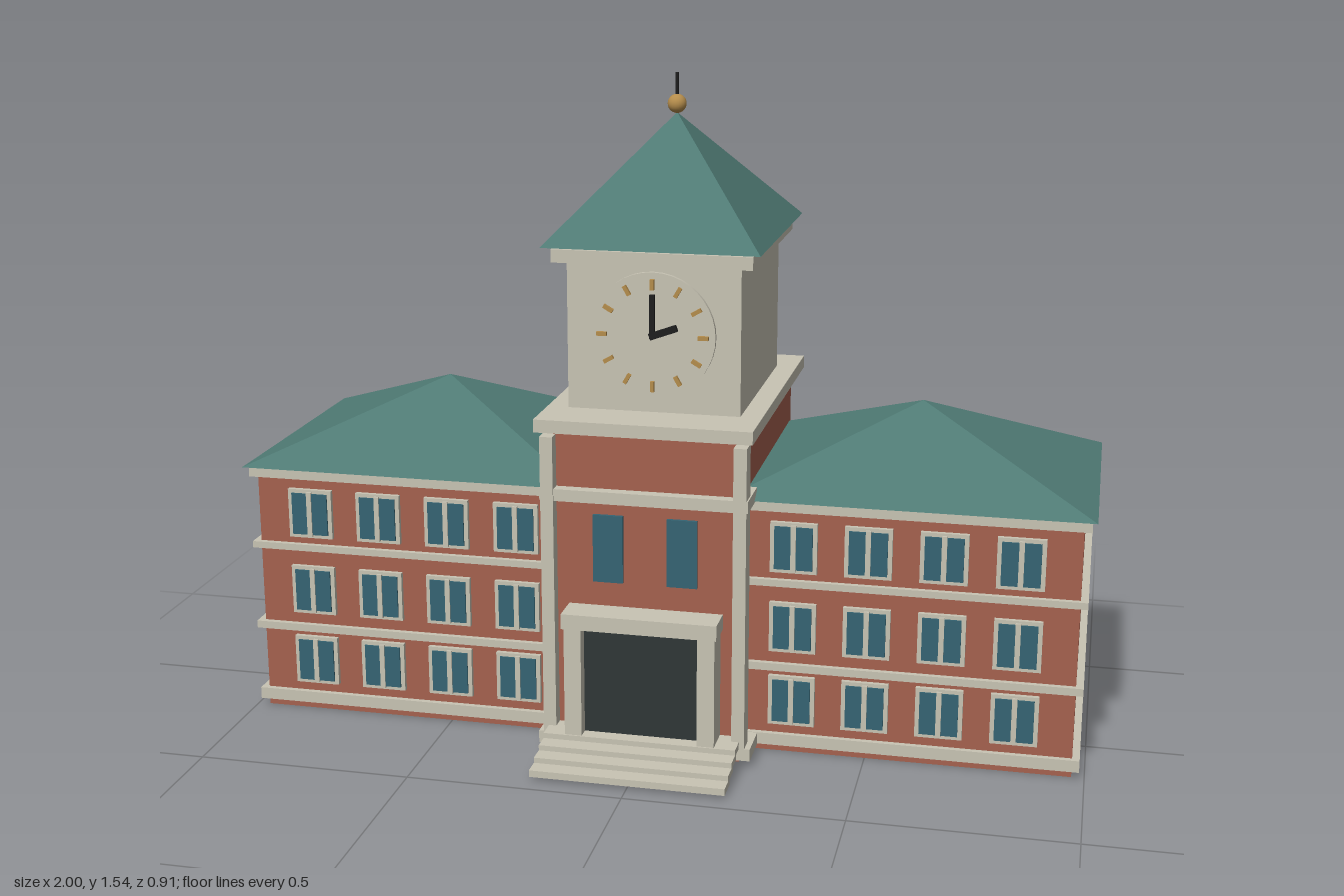
import * as THREE from 'three';

const mat = (name, color) => {
  const m = new THREE.MeshStandardMaterial({ color });
  m.name = name;
  return m;
};

export function createModel() {
  const brick = mat('brick', 0xa5614f);
  const stone = mat('stone', 0xc8c4b4);
  const copper = mat('copperRoof', 0x4f7a74);
  const glass = mat('glass', 0x356473);
  const dark = mat('doorDark', 0x303737);
  const gold = mat('gold', 0xb58d4c);
  const black = mat('black', 0x1e1e1e);

  const add = (parent, name, geometry, material) => {
    const mesh = new THREE.Mesh(geometry, material);
    mesh.name = name;
    parent.add(mesh);
    return mesh;
  };
  // Box given by its extents on each axis
  const box = (parent, name, material, [x0, x1], [y0, y1], [z0, z1]) => {
    const mesh = add(parent, name, new THREE.BoxGeometry(x1 - x0, y1 - y0, z1 - z0), material);
    mesh.position.set((x0 + x1) / 2, (y0 + y1) / 2, (z0 + z1) / 2);
    return mesh;
  };
  // Four-sided pyramid roof with a closed base
  const pyramid = (parent, name, halfX, halfZ, y0, y1, z) => {
    const g = new THREE.ConeGeometry(Math.SQRT2, 1, 4).toNonIndexed();
    g.rotateY(Math.PI / 4);
    g.scale(halfX, y1 - y0, halfZ);
    g.computeVertexNormals();
    add(parent, name, g, copper).position.set(0, (y0 + y1) / 2, z);
  };
  const group = (parent, name) => {
    const g = new THREE.Group();
    g.name = name;
    parent.add(g);
    return g;
  };

  const model = new THREE.Group();
  model.name = 'clockTowerHall';

  // Framed window with two panes, facing +z from its wall
  const addWindow = (parent, x, y, z, back) => {
    const w = group(parent, 'window');
    box(w, 'windowFrame', stone, [-0.054, 0.054], [-0.06, 0.06], [-0.005, 0.011]);
    for (const s of [-1, 1])
      box(w, 'pane', glass, [s * 0.025 - 0.019, s * 0.025 + 0.019], [-0.051, 0.051], [0.005, 0.015]);
    box(w, 'mullion', stone, [-0.006, 0.006], [-0.055, 0.055], [0.005, 0.018]);
    w.position.set(x, y, z);
    if (back) w.rotation.y = Math.PI;
  };

  // Side wings
  const zc = -0.128;
  for (const side of [-1, 1]) {
    const wing = group(model, side > 0 ? 'leftWing' : 'rightWing');
    wing.position.x = side * 0.583;
    box(wing, 'wingWalls', brick, [-0.388, 0.388], [0, 0.6], [zc - 0.303, zc + 0.303]);
    for (const [y0, y1] of [[0.018, 0.046], [0.203, 0.221], [0.409, 0.425], [0.588, 0.612]])
      box(wing, 'stoneBand', stone, [-0.405, 0.405], [y0, y1], [zc - 0.316, zc + 0.316]);
    pyramid(wing, 'wingRoof', 0.416, 0.33, 0.614, 0.785, zc);
    for (let col = 0; col < 4; col++)
      for (const y of [0.13, 0.31, 0.503]) {
        const x = (col - 1.5) * 0.17;
        addWindow(wing, x, y, zc + 0.303, false);
        addWindow(wing, x, y, zc - 0.303, true);
      }
  }

  // Central block
  const block = group(model, 'centralBlock');
  box(block, 'blockWalls', brick, [-0.22, 0.22], [0, 0.775], [-0.43, 0.257]);
  box(block, 'blockPlinth', stone, [-0.25, 0.25], [0.016, 0.045], [-0.445, 0.285]);
  box(block, 'blockBand', stone, [-0.24, 0.24], [0.61, 0.638], [0.17, 0.284]);
  box(block, 'blockCornice', stone, [-0.25, 0.25], [0.77, 0.8], [-0.445, 0.29]);
  for (const s of [-1, 1]) {
    box(block, 'pilaster', stone, [s * 0.222 - 0.015, s * 0.222 + 0.015], [0.02, 0.76], [0.24, 0.288]);
    box(block, 'tallWindow', glass, [s * 0.086 - 0.035, s * 0.086 + 0.035], [0.417, 0.577], [0.25, 0.265]);
  }

  // Entrance and steps
  const entrance = group(model, 'entrance');
  box(entrance, 'door', dark, [-0.137, 0.137], [0.04, 0.325], [0.25, 0.3]);
  for (const s of [-1, 1])
    box(entrance, 'doorJamb', stone, [s * 0.155 - 0.02, s * 0.155 + 0.02], [0.004, 0.325], [0.25, 0.33]);
  box(entrance, 'lintel', stone, [-0.18, 0.18], [0.322, 0.358], [0.25, 0.334]);
  for (let i = 0; i < 4; i++) {
    const front = 0.457 - i * 0.041, top = 0.025 + i * 0.0125;
    box(entrance, 'step', stone, [-0.225, 0.225], [top - 0.016, top], [i === 3 ? 0.25 : front - 0.056, front]);
  }

  // Clock tower
  const tower = group(model, 'clockTower');
  const tz = -0.079;
  box(tower, 'towerWalls', stone, [-0.2, 0.2], [0.79, 1.15], [tz - 0.248, tz + 0.248]);
  box(tower, 'towerCornice', stone, [-0.23, 0.23], [1.14, 1.17], [tz - 0.274, tz + 0.274]);
  pyramid(tower, 'towerRoof', 0.25, 0.295, 1.176, 1.45, tz);
  add(tower, 'finialBall', new THREE.SphereGeometry(0.022, 20, 14), gold).position.set(0, 1.47, tz);
  add(tower, 'finialSpike', new THREE.CylinderGeometry(0.004, 0.004, 0.07, 8), black).position.set(0, 1.506, tz);

  // Clock on the front and its mirrored twin on the back
  for (const s of [1, -1]) {
    const clock = group(tower, s > 0 ? 'frontClock' : 'backClock');
    clock.position.set(0, 0.98, tz + s * 0.248);
    const dial = add(clock, 'dial', new THREE.CylinderGeometry(0.144, 0.144, 0.02, 40), stone);
    dial.rotation.x = Math.PI / 2;
    for (let i = 0; i < 12; i++) {
      const a = i * Math.PI / 6;
      const mark = add(clock, 'hourMark', new THREE.BoxGeometry(0.009, 0.024, 0.012), gold);
      mark.position.set(0.117 * Math.sin(a), 0.117 * Math.cos(a), s * 0.013);
      mark.rotation.z = -a;
    }
    for (const [name, length, width, a] of [['minuteHand', 0.1, 0.011, 0], ['hourHand', 0.066, 0.015, 1.22]]) {
      const hand = add(clock, name, new THREE.BoxGeometry(width, length, 0.012), black);
      const r = length / 2 - 0.006;
      hand.position.set(r * Math.sin(a), r * Math.cos(a), s * 0.015);
      hand.rotation.z = -a;
    }
  }
  return model;
}
